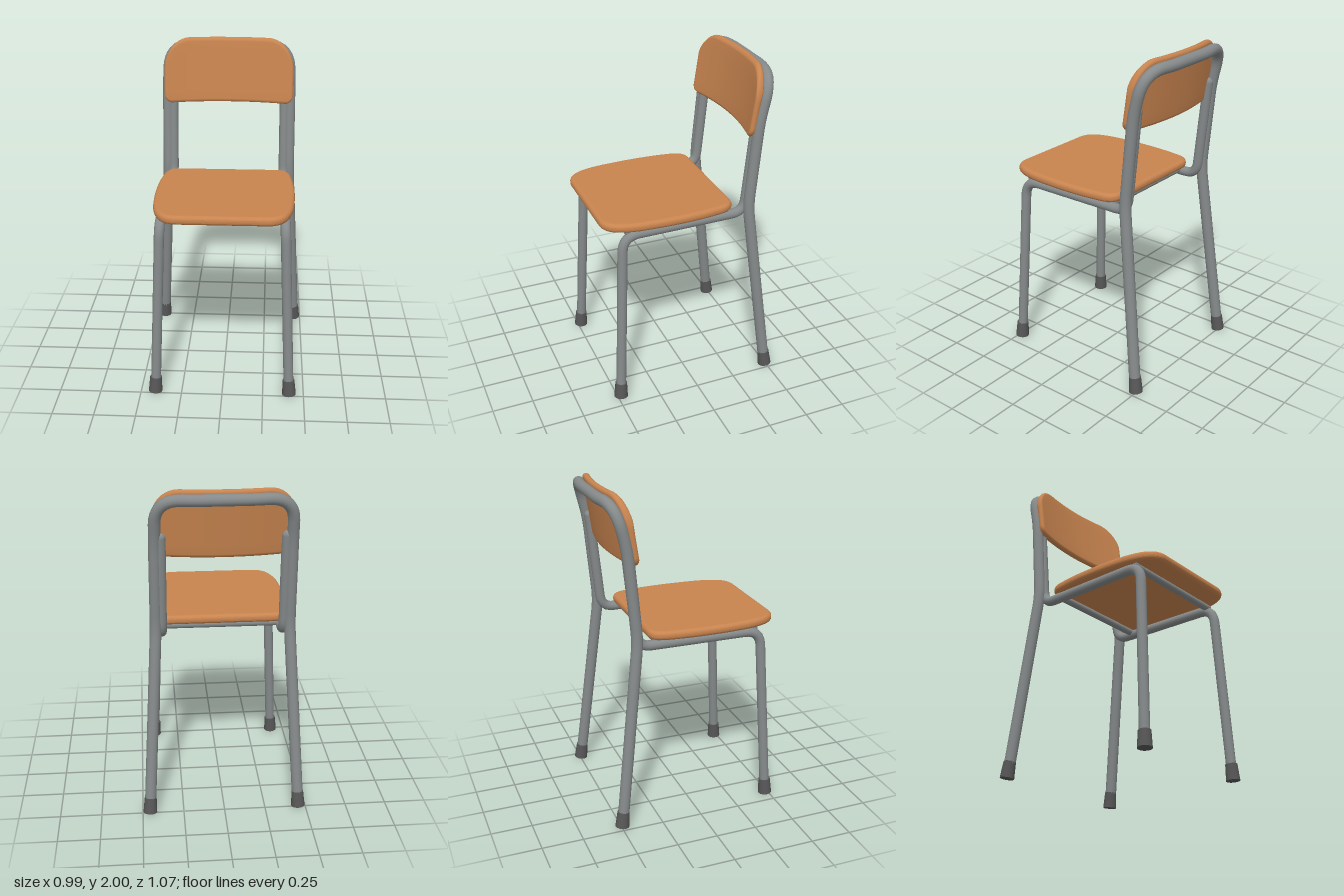
import * as THREE from 'three';

const wood = new THREE.MeshStandardMaterial({ color: 0xc8844f });
wood.name = 'orange wood';
const steel = new THREE.MeshStandardMaterial({ color: 0x868a8a });
steel.name = 'grey steel';
const rubber = new THREE.MeshStandardMaterial({ color: 0x575757 });
rubber.name = 'dark rubber';

function add(parent, name, geometry, material) {
  const mesh = new THREE.Mesh(geometry, material);
  mesh.name = name;
  parent.add(mesh);
  return mesh;
}

// Bent tube: straight runs between points [x, y, z, bend], with a curve of that bend length at each corner
function bentTube(points, radius, segments) {
  const v = points.map(p => new THREE.Vector3(p[0], p[1], p[2]));
  const path = new THREE.CurvePath();
  let from = v[0];
  for (let i = 1; i < v.length - 1; i++) {
    const bend = points[i][3];
    const a = v[i].clone().add(v[i - 1].clone().sub(v[i]).setLength(bend));
    const b = v[i].clone().add(v[i + 1].clone().sub(v[i]).setLength(bend));
    path.add(new THREE.LineCurve3(from, a));
    path.add(new THREE.QuadraticBezierCurve3(a, v[i], b));
    from = b;
  }
  path.add(new THREE.LineCurve3(from, v[v.length - 1]));
  return new THREE.TubeGeometry(path, segments, radius, 14);
}

// Flat board with softly bulging sides, larger corners at the front and a rounded rim
function seatGeometry() {
  const bevel = 0.024, w = 0.42 - bevel, back = -0.275 + bevel, front = 0.535 - bevel;
  const s = new THREE.Shape();
  s.moveTo(-0.31, back);
  s.lineTo(0.31, back);
  s.bezierCurveTo(0.36, back, w - 0.02, back + 0.04, w - 0.015, back + 0.1);
  s.bezierCurveTo(w + 0.006, -0.02, w + 0.006, 0.16, w - 0.01, 0.33);
  s.bezierCurveTo(w - 0.03, 0.46, 0.33, front, 0.26, front);
  s.lineTo(-0.26, front);
  s.bezierCurveTo(-0.33, front, -w + 0.03, 0.46, -w + 0.01, 0.33);
  s.bezierCurveTo(-w - 0.006, 0.16, -w - 0.006, -0.02, -w + 0.015, back + 0.1);
  s.bezierCurveTo(-w + 0.02, back + 0.04, -0.36, back, -0.31, back);
  const g = new THREE.ExtrudeGeometry(s, {
    depth: 0.007, bevelThickness: bevel, bevelSize: bevel, bevelSegments: 5, curveSegments: 10,
  });
  g.rotateX(Math.PI / 2);
  g.translate(0, 1.195 - bevel, 0);
  return g;
}

// Curved, tilted board built from upright cross-sections along x
function backrestGeometry() {
  const half = 0.405, cols = 48, arc = 6, rows = 6, pos = [], idx = [];
  const corner = (x, a, b) => {
    const t = Math.max(0, (x - half + a) / a);
    return b * (1 - Math.sqrt(Math.max(0, 1 - t * t)));
  };
  let n = 0;
  for (let i = 0; i <= cols; i++) {
    const x = half * Math.sin((i / cols - 0.5) * Math.PI), ax = Math.abs(x);
    const top = 2.0 - corner(ax, 0.16, 0.19), low = 1.6 + corner(ax, 0.05, 0.06);
    const h = 0.0225 - corner(ax, 0.02, 0.0215);
    const loop = [];
    // front face upwards, over the top edge, back face downwards, round the bottom edge
    for (let k = 0; k < rows; k++) loop.push([low + h + (top - low - 2 * h) * k / rows, h]);
    for (let k = 0; k < arc; k++) {
      const t = Math.PI * k / arc;
      loop.push([top - h + h * Math.sin(t), h * Math.cos(t)]);
    }
    for (let k = 0; k < rows; k++) loop.push([top - h - (top - low - 2 * h) * k / rows, -h]);
    for (let k = 0; k < arc; k++) {
      const t = Math.PI * k / arc;
      loop.push([low + h - h * Math.sin(t), -h * Math.cos(t)]);
    }
    n = loop.length;
    const curve = -0.408 + 0.055 * (x / half) ** 2;
    for (const [y, z] of loop) pos.push(x, y, z + curve - 0.15 * (y - 1.6));
  }
  for (let i = 0; i < cols; i++) for (let k = 0; k < n; k++) {
    const a = i * n + k, b = i * n + (k + 1) % n;
    idx.push(a, a + n, b, b, a + n, b + n);
  }
  // close both ends
  for (let k = 1; k < n - 1; k++) {
    idx.push(0, k, k + 1);
    const e = cols * n;
    idx.push(e, e + k + 1, e + k);
  }
  const g = new THREE.BufferGeometry();
  g.setAttribute('position', new THREE.Float32BufferAttribute(pos, 3));
  g.setIndex(idx);
  g.computeVertexNormals();
  return g;
}

export function createModel() {
  const chair = new THREE.Group();
  chair.name = 'chair';

  add(chair, 'seat', seatGeometry(), wood);
  add(chair, 'backrest', backrestGeometry(), wood);

  // Rear legs and top loop: one continuous tube
  const sidePoints = [
    [0.453, 0.05, -0.487, 0], [0.39, 1.16, -0.358, 0.08], [0.386, 1.7, -0.408, 0.08],
    [0.38, 1.95, -0.47, 0.15], [0.17, 1.95, -0.505, 0.05],
  ];
  const mirrored = sidePoints.map(([x, y, z, r]) => [-x, y, z, r]).reverse();
  add(chair, 'rearFrame', bentTube([...sidePoints, ...mirrored], 0.034, 160), steel);

  for (const side of [1, -1]) {
    const name = side > 0 ? 'left' : 'right';

    // Front leg, seat rail and the inner upright that ends behind the backrest
    add(chair, name + 'FrontLegAndRail', bentTube([
      [side * 0.408, 0.05, 0.476, 0], [side * 0.365, 1.11, 0.425, 0.1],
      [side * 0.355, 1.11, -0.345, 0.08], [side * 0.352, 1.72, -0.408, 0],
    ], 0.03, 100), steel);
    const end = add(chair, name + 'UprightEnd', new THREE.SphereGeometry(0.03, 14, 8), steel);
    end.position.set(side * 0.352, 1.72, -0.408);

    // Rubber feet, leaning with the legs
    for (const [part, x, z, tilt] of [['FrontFoot', 0.409, 0.477, -0.048], ['RearFoot', 0.453, -0.489, 0.115]]) {
      const foot = add(chair, name + part, new THREE.CylinderGeometry(0.036, 0.042, 0.098, 16), rubber);
      foot.position.set(side * x, 0.052, z);
      foot.rotation.set(tilt, 0, side * 0.05);
    }
  }

  // Cross bars under the seat
  for (const [name, z] of [['frontCrossBar', 0.385], ['rearCrossBar', -0.22]]) {
    const bar = add(chair, name, new THREE.CylinderGeometry(0.022, 0.022, 0.74, 12), steel);
    bar.rotation.z = Math.PI / 2;
    bar.position.set(0, 1.122, z);
  }

  return chair;
}
